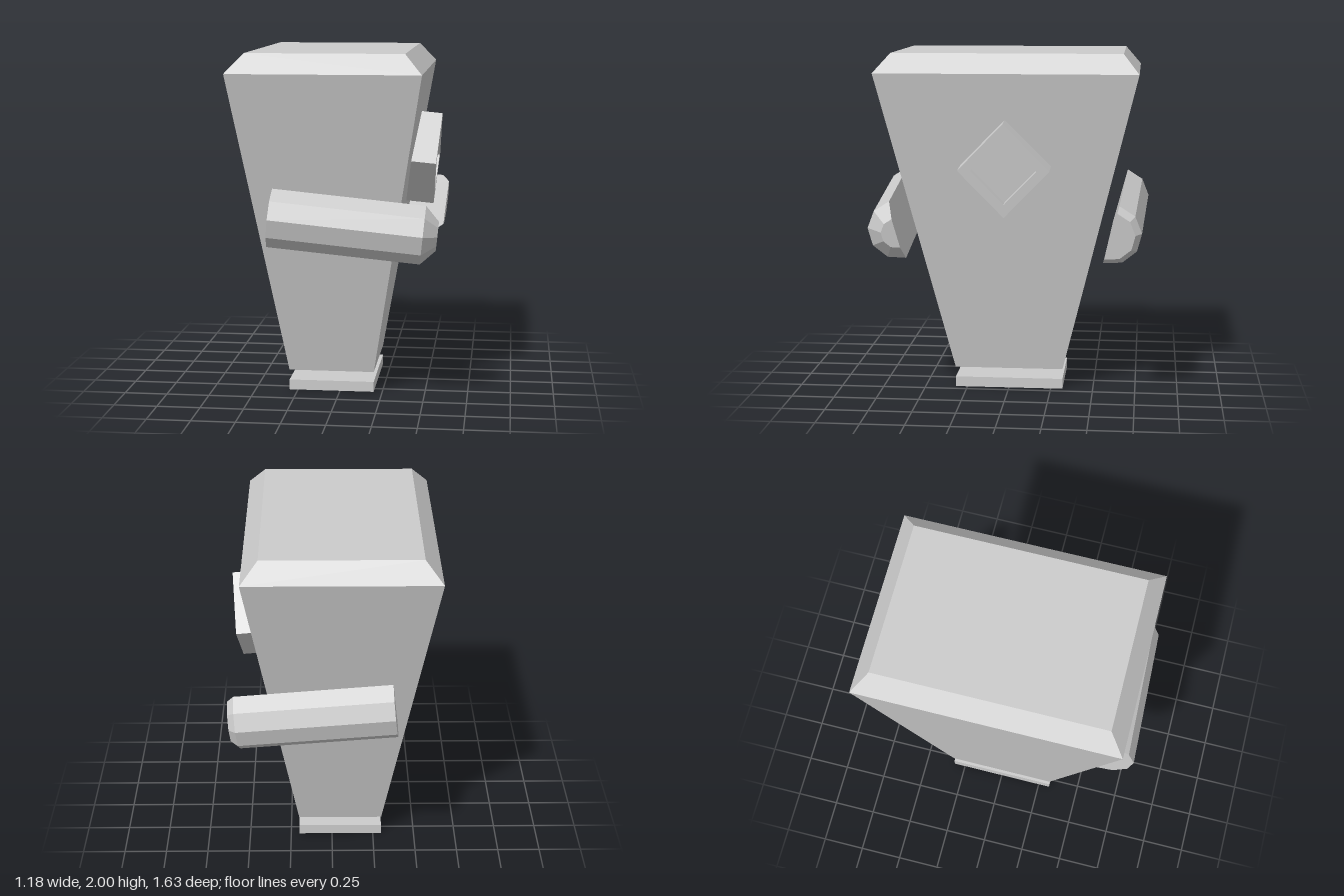
import * as THREE from 'three';
import { ConvexGeometry } from 'three/addons/geometries/ConvexGeometry.js';

const deg = THREE.MathUtils.degToRad;
const material = new THREE.MeshStandardMaterial({ color: 0xcccccc, flatShading: true });

function part(name, geometry) {
  const mesh = new THREE.Mesh(geometry, material);
  mesh.name = name;
  return mesh;
}

// Four corners of a horizontal rectangle
function rectangle(y, x0, x1, z0, z1) {
  return [[x0, z0], [x1, z0], [x1, z1], [x0, z1]].map(([x, z]) => new THREE.Vector3(x, y, z));
}

// Half-decagon bar along x with its flat side towards the body and a tapered tip
function createArm(name, side, shaftEnd, tipEnd, tipScale) {
  const radius = 0.173;
  const points = [];
  for (const [x, r] of [[-0.86, radius], [shaftEnd, radius], [tipEnd, radius * tipScale]]) {
    for (let i = 0; i <= 5; i++) {
      const a = deg(75 - 36 * i);
      points.push(new THREE.Vector3(x, r * Math.sin(a), side * r * Math.cos(a)));
    }
  }
  const arm = part(name, new ConvexGeometry(points));
  arm.position.set(0.5, 1.0, side * 0.61);
  arm.rotation.set(0, side * deg(2.1), deg(-5.8));
  return arm;
}

function diamond(Type, halfWidth, halfHeight) {
  const path = new Type();
  path.moveTo(0, -halfHeight);
  path.lineTo(halfWidth, 0);
  path.lineTo(0, halfHeight);
  path.lineTo(-halfWidth, 0);
  path.closePath();
  return path;
}

// Diamond frame with a recessed panel, tilted on the +x face
function createDiamond() {
  const group = new THREE.Group();
  group.name = 'diamondSocket';
  const outline = diamond(THREE.Shape, 0.26, 0.27);
  outline.holes.push(diamond(THREE.Path, 0.187, 0.195));
  const frame = part('diamondFrame', new THREE.ExtrudeGeometry(outline, { depth: 0.19, bevelEnabled: false }));
  frame.position.z = -0.19;
  const panel = part('diamondPanel', new THREE.ExtrudeGeometry(
    diamond(THREE.Shape, 0.187, 0.195), { depth: 0.12, bevelEnabled: false }));
  panel.position.z = -0.18;
  group.add(frame, panel);
  group.rotation.set(0, Math.PI / 2, deg(-5.2), 'ZYX');
  group.position.set(0.55, 1.35, 0);
  return group;
}

export function createModel() {
  const model = new THREE.Group();
  model.name = 'taperedHead';

  // Tapered body with a chamfered top
  model.add(part('body', new ConvexGeometry([
    ...rectangle(0.12, -0.3, 0.2, -0.32, 0.32),
    ...rectangle(1.89, -0.592, 0.495, -0.755, 0.748),
    ...rectangle(2.0, -0.493, 0.397, -0.665, 0.657),
  ])));

  // Thin plate floating just under the body
  const plate = part('basePlate', new THREE.BoxGeometry(0.5, 0.06, 0.64));
  plate.position.set(-0.05, 0.03, 0);
  model.add(plate);

  // Side arms, with a long taper in front and a short bevel behind
  model.add(createArm('frontArm', 1, 0, 0.08, 0.5));
  model.add(createArm('backArm', -1, 0.035, 0.075, 0.8));

  model.add(createDiamond());
  return model;
}
